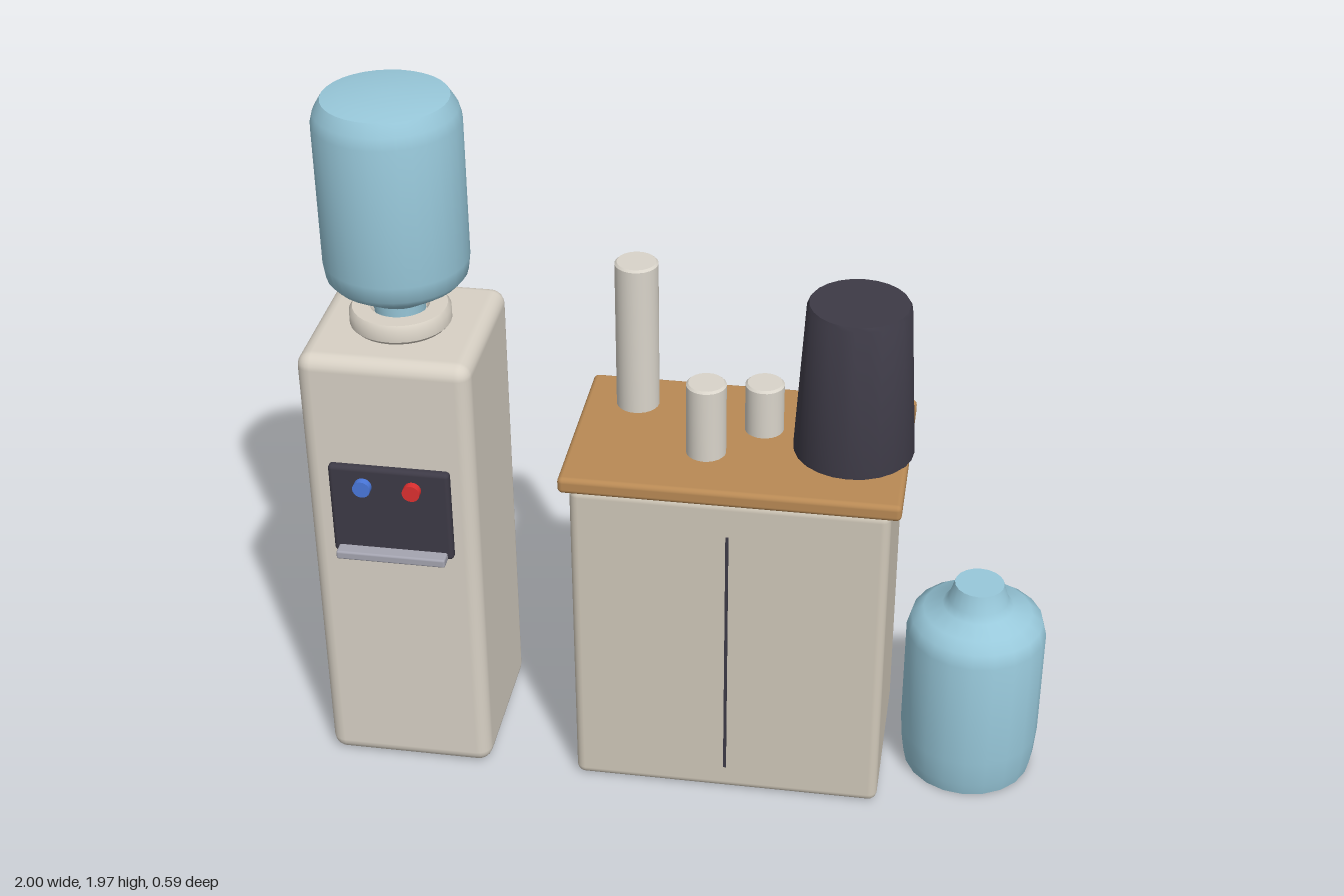
import * as THREE from 'three';
import { RoundedBoxGeometry } from 'three/addons/geometries/RoundedBoxGeometry.js';
import { toCreasedNormals } from 'three/addons/utils/BufferGeometryUtils.js';

const material = (color) => new THREE.MeshStandardMaterial({ color });
const cream = material(0xd8d1c5);
const beige = material(0xd0c8b9);
const dark = material(0x3d3a46);
const wood = material(0xb98a55);
const water = material(0x98c8da);
const paper = material(0xd9d4ca);
const metal = material(0xa4a4b0);
const red = material(0xdd3030);
const blue = material(0x4a78dc);

export function createModel() {
  const model = new THREE.Group();

  const add = (parent, name, geometry, mat, x, y, z) => {
    const mesh = new THREE.Mesh(geometry, mat);
    mesh.name = name;
    mesh.position.set(x, y, z);
    parent.add(mesh);
    return mesh;
  };
  // Box given by its limits on each axis, with rounded edges
  const block = (parent, name, mat, [x0, x1], [y0, y1], [z0, z1], radius) =>
    add(parent, name, new RoundedBoxGeometry(x1 - x0, y1 - y0, z1 - z0, 3, radius), mat,
      (x0 + x1) / 2, (y0 + y1) / 2, (z0 + z1) / 2);
  // Turned shape from [radius, height] points, listed bottom to top
  const lathe = (points, sides) => toCreasedNormals(
    new THREE.LatheGeometry(points.map(([r, y]) => new THREE.Vector2(r, y)), sides), 0.7);
  const group = (name) => {
    const g = new THREE.Group();
    g.name = name;
    model.add(g);
    return g;
  };

  // Water cooler
  const cooler = group('waterCooler');
  block(cooler, 'coolerBody', cream, [-1, -0.535], [0, 1.31], [-0.23, 0.235], 0.04);
  add(cooler, 'bottleCollar', lathe([
    [0, 0], [0.127, 0], [0.136, 0.01], [0.136, 0.042], [0.127, 0.055],
    [0.08, 0.055], [0.07, 0.04], [0, 0.04],
  ], 32), cream, -0.77, 1.31, 0.005);
  add(cooler, 'coolerBottle', lathe([
    [0, 1.34], [0.068, 1.34], [0.07, 1.385], [0.09, 1.395], [0.17, 1.445], [0.187, 1.465],
    [0.193, 1.51], [0.193, 1.895], [0.185, 1.925], [0.165, 1.958], [0.12, 1.966], [0, 1.972],
  ], 32), water, -0.77, 0, 0.005);

  // Tap panel with two buttons and a drip tray
  block(cooler, 'tapPanel', dark, [-0.93, -0.6], [0.72, 0.995], [0.21, 0.255], 0.012);
  block(cooler, 'dripTray', metal, [-0.915, -0.615], [0.72, 0.745], [0.235, 0.292], 0.006);
  for (const [name, x, mat] of [['coldButton', -0.835, blue], ['hotButton', -0.7, red]]) {
    const button = add(cooler, name, new THREE.CylinderGeometry(0.024, 0.024, 0.035, 20), mat, x, 0.94, 0.258);
    button.rotation.x = Math.PI / 2;
  }

  // Cabinet
  const cabinet = group('cabinet');
  block(cabinet, 'cabinetBody', beige, [-0.285, 0.568], [0, 0.968], [-0.27, 0.232], 0.025);
  block(cabinet, 'counterTop', wood, [-0.31, 0.595], [0.965, 1.012], [-0.3, 0.252], 0.014);
  add(cabinet, 'doorSeam', new THREE.BoxGeometry(0.008, 0.78, 0.01), dark, 0.14, 0.47, 0.232);

  // Cup stacks on the counter: x, z, radius, height
  const cups = [
    [-0.163, -0.163, 0.059, 0.44],
    [0.058, 0.057, 0.054, 0.215],
    [0.197, -0.08, 0.053, 0.147],
  ];
  for (const [x, z, r, h] of cups) {
    add(cabinet, 'cupStack', lathe([
      [0, 0], [r, 0], [r, h - 0.006], [r - 0.006, h], [0, h],
    ], 24), paper, x, 1.01, z);
  }

  // Upturned waste bin
  add(cabinet, 'wasteBin', lathe([
    [0, 0], [0.162, 0], [0.162, 0.012], [0.137, 0.43], [0.131, 0.44], [0, 0.44],
  ], 24), dark, 0.445, 1.01, -0.023);

  // Spare bottle on the floor
  add(model, 'spareBottle', lathe([
    [0, 0], [0.178, 0], [0.187, 0.04], [0.193, 0.12], [0.193, 0.45], [0.182, 0.49],
    [0.15, 0.515], [0.098, 0.535], [0.083, 0.555], [0.068, 0.605], [0, 0.605],
  ], 20), water, 0.807, 0, -0.022);

  return model;
}
